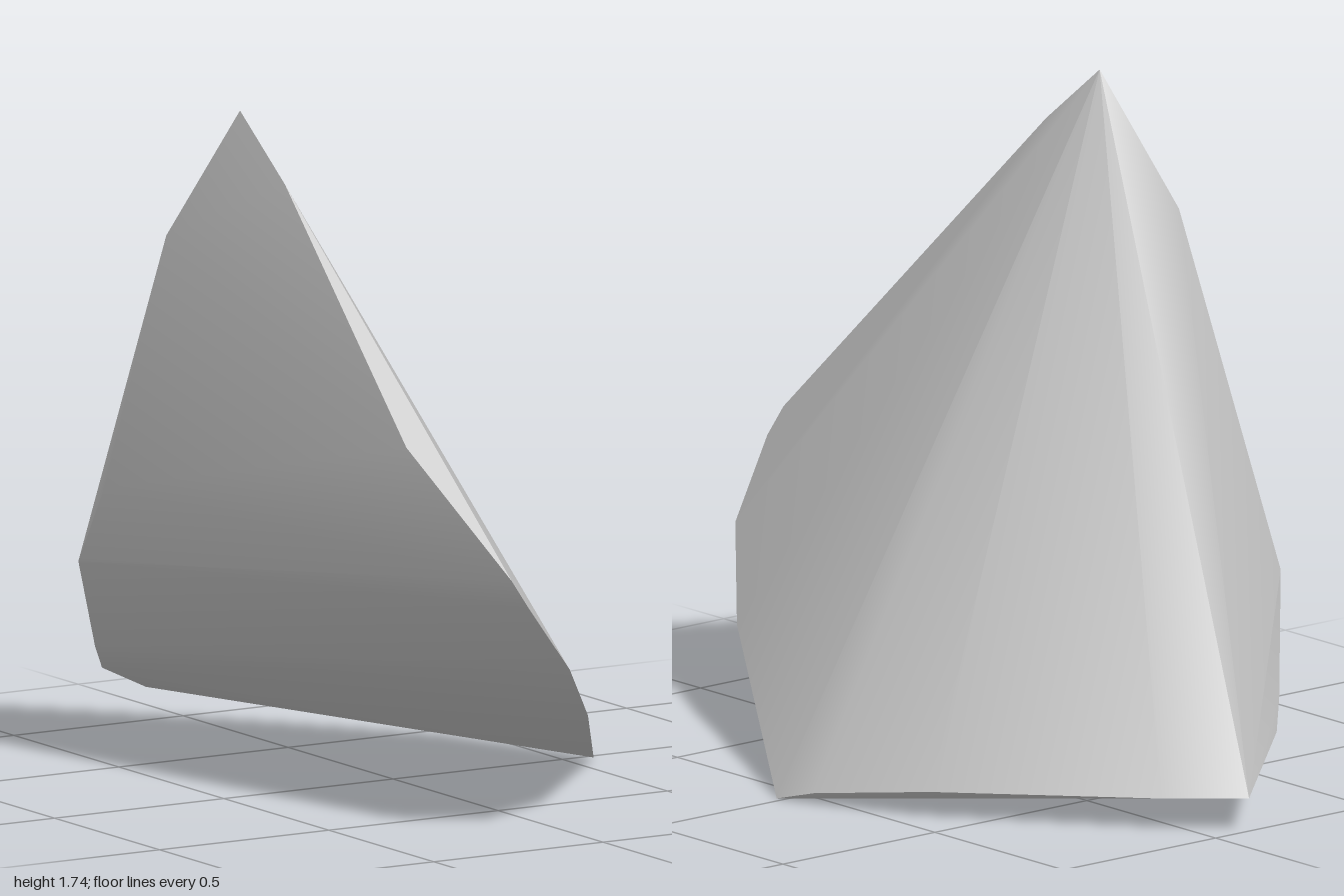
import * as THREE from 'three';
import { ConvexGeometry } from 'three/addons/geometries/ConvexGeometry.js';
import { toCreasedNormals } from 'three/addons/utils/BufferGeometryUtils.js';

export function createModel() {
  const group = new THREE.Group();
  const stone = new THREE.MeshStandardMaterial({ color: 0xc0c0c0 });
  stone.name = 'stone grey';

  // Corners of the shard, which is a convex solid
  const corners = [
    [-0.415, 1.74, -0.06], // tip
    // front left ridge
    [-0.4, 1.58, 0.13], [-0.37, 0.99, 0.66], [-0.26, 0.69, 0.985],
    // front lower rim
    [-0.22, 0.62, 1.0], [-0.055, 0.435, 0.93], [0.16, 0.255, 0.67], [0.58, 0, 0.02],
    // back lower rim
    [0.55, 0.03, -0.09], [0.42, 0.07, -0.39], [0.06, 0.085, -0.86], [-0.11, 0.085, -1.0],
    // back left rim
    [-0.345, 0.185, -0.83], [-0.4, 0.255, -0.775], [-0.57, 0.52, -0.58],
    [-0.58, 0.73, -0.44], [-0.515, 1.4, -0.25],
  ].map((c) => new THREE.Vector3(...c));

  // Gentle bends are smooth, the ridges stay sharp
  const shard = new THREE.Mesh(toCreasedNormals(new ConvexGeometry(corners), 0.7), stone);
  shard.name = 'rockShard';
  group.add(shard);
  return group;
}
